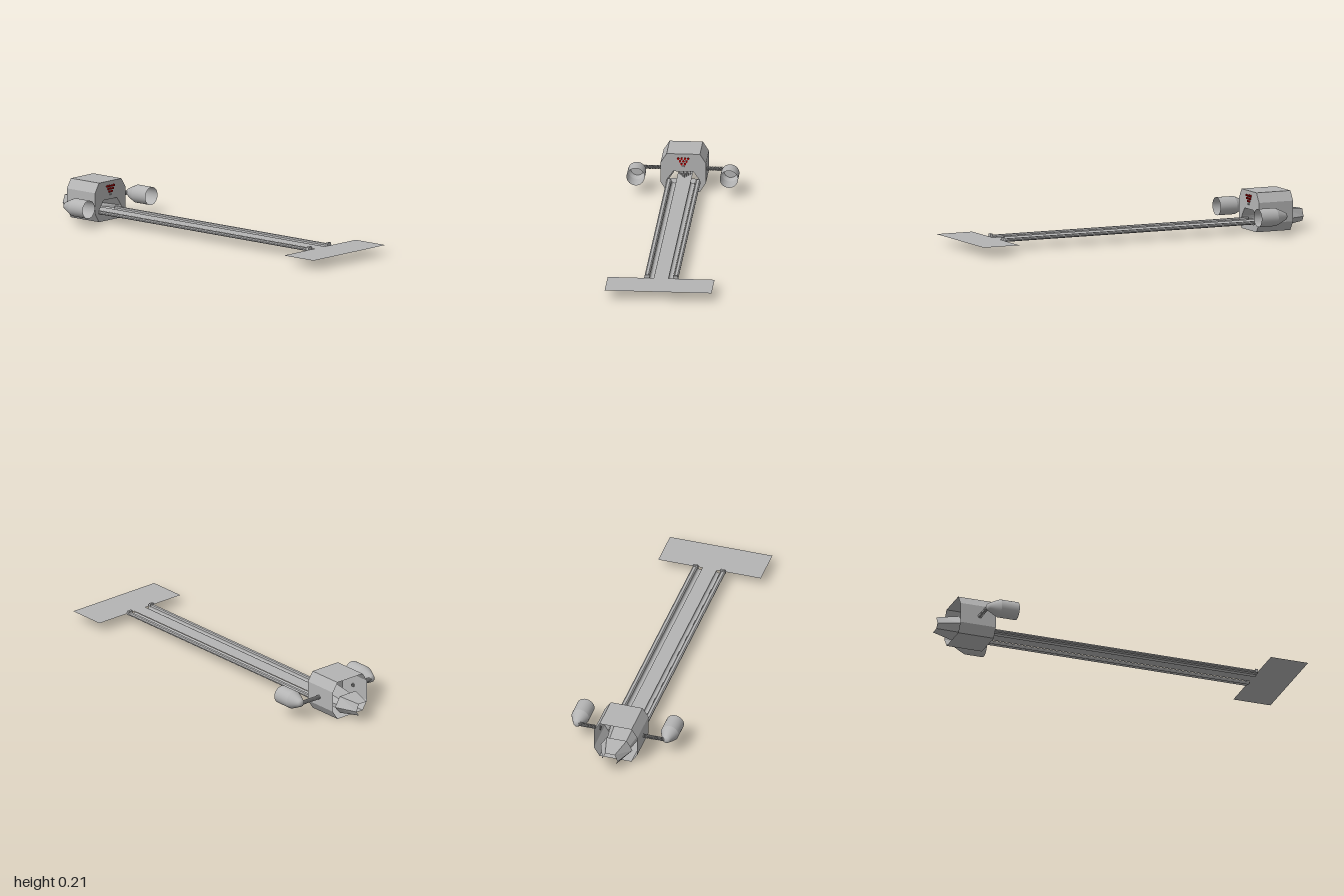
import * as THREE from 'three';

const mat = (name, color, side = THREE.DoubleSide) => {
  const m = new THREE.MeshStandardMaterial({ color, side });
  m.name = name;
  return m;
};

export function createModel() {
  const root = new THREE.Group();
  root.name = 'bowlingLane';
  const grey = mat('grey', 0xb4b4b4);
  const greyOuter = grey.clone();
  greyOuter.side = THREE.FrontSide;
  const red = mat('red', 0xb00000);
  const white = mat('white', 0xf4f4f4);

  const add = (name, geo, material, x = 0, y = 0, z = 0, parent = root) => {
    const m = new THREE.Mesh(geo, material);
    m.name = name;
    m.position.set(x, y, z);
    parent.add(m);
    return m;
  };
  const shapeOf = pts => new THREE.Shape(pts.map(p => new THREE.Vector2(...p)));

  // Flat-faced tube through cross-sections, each { z, pts }
  const loft = (rings, closed = true) => {
    const pos = [];
    for (let r = 0; r < rings.length - 1; r++) {
      const A = rings[r], B = rings[r + 1], n = A.pts.length;
      for (let i = 0; i < (closed ? n : n - 1); i++) {
        const j = (i + 1) % n;
        const a = [...A.pts[i], A.z], b = [...A.pts[j], A.z];
        const c = [...B.pts[j], B.z], d = [...B.pts[i], B.z];
        pos.push(...a, ...b, ...c, ...a, ...c, ...d);
      }
    }
    const g = new THREE.BufferGeometry();
    g.setAttribute('position', new THREE.Float32BufferAttribute(pos, 3));
    g.computeVertexNormals();
    return g;
  };

  // Lane and approach platform
  const floor = (w, d) => new THREE.PlaneGeometry(w, d).rotateX(-Math.PI / 2);
  add('lane', floor(0.078, 1.69), grey, 0, 0.05, -0.055);
  add('approach', floor(0.566, 0.21), grey, 0, 0.05, 0.895);

  // Housing: octagonal sleeve, open at the back, with a front panel
  const octagon = [[-0.088, 0], [0.088, 0], [0.12, 0.05], [0.12, 0.16],
    [0.088, 0.21], [-0.088, 0.21], [-0.12, 0.16], [-0.12, 0.05]];
  add('housingSleeve', loft([{ z: -0.9, pts: octagon }, { z: -0.7, pts: octagon }]), grey);
  const mouth = [[-0.06, 0.035], [-0.06, 0.045], [-0.092, 0.045], [-0.086, 0.066], [-0.053, 0.112],
    [0.053, 0.112], [0.086, 0.066], [0.092, 0.045], [0.06, 0.045], [0.06, 0.035]];
  const panel = shapeOf(octagon);
  panel.holes.push(shapeOf(mouth));
  add('frontPanel', new THREE.ShapeGeometry(panel), grey, 0, 0, -0.7);

  // Hood narrowing behind the mouth
  add('hood', loft([
    { z: -0.7, pts: [[-0.092, 0.045], [-0.086, 0.066], [-0.053, 0.112], [0.053, 0.112], [0.086, 0.066], [0.092, 0.045]] },
    { z: -0.88, pts: [[-0.062, 0.045], [-0.062, 0.066], [-0.045, 0.09], [0.045, 0.09], [0.062, 0.066], [0.062, 0.045]] },
  ], false), grey);

  // Tapered rear funnel, visible only from outside
  add('rearFunnel', loft([
    { z: -1, pts: [[-0.026, 0.035], [0.026, 0.035], [0.042, 0.06], [0.026, 0.1], [-0.026, 0.1], [-0.042, 0.06]] },
    { z: -0.88, pts: [[-0.055, 0.02], [0.055, 0.02], [0.088, 0.06], [0.055, 0.114], [-0.055, 0.114], [-0.088, 0.06]] },
  ]), greyOuter);

  // Pin triangle and matching indicator lights
  const pinProfile = [[0, 0], [0.0022, 0], [0.0038, 0.005], [0.0016, 0.011], [0.0022, 0.014], [0, 0.017]]
    .map(p => new THREE.Vector2(...p));
  const pinGeo = new THREE.LatheGeometry(pinProfile, 10);
  const lightGeo = new THREE.CylinderGeometry(0.006, 0.006, 0.008, 12).rotateX(Math.PI / 2);
  for (let row = 0; row < 4; row++) {
    for (let i = 0; i <= row; i++) {
      const k = i - row / 2;
      add('pin', pinGeo, white, k * 0.019, 0.05, -0.78 - row * 0.017);
      add('indicatorLight', lightGeo, row ? red : grey, k * 0.0175, 0.139 + row * 0.015, -0.698);
    }
  }

  // Gutter, rail and rail end, spring arm and cup on each side
  class Coil extends THREE.Curve {
    getPoint(t, v = new THREE.Vector3()) {
      const a = t * 19 * Math.PI * 2;
      return v.set(0.112 + t * 0.123, Math.cos(a) * 0.0085, Math.sin(a) * 0.0085);
    }
  }
  const springGeo = new THREE.TubeGeometry(new Coil(), 300, 0.0028, 6);
  const cupProfile = [[0.048, 0], [0.048, 0.1], [0.036, 0.128], [0.022, 0.156], [0.018, 0.164], [0.01, 0.169], [0, 0.17]]
    .map(p => new THREE.Vector2(...p));
  const cupWall = new THREE.LatheGeometry(cupProfile.slice(0, 2), 32).rotateX(-Math.PI / 2);
  const cupCone = new THREE.LatheGeometry(cupProfile.slice(1, 4), 32).rotateX(-Math.PI / 2);
  const cupTip = new THREE.LatheGeometry(cupProfile.slice(3), 32).rotateX(-Math.PI / 2);
  const gutterGeo = new THREE.CylinderGeometry(0.012, 0.012, 1.52, 12, 1, true, Math.PI / 2, Math.PI).rotateX(Math.PI / 2);
  gutterGeo.computeBoundingBox();
  // keep the trough facing downward
  if (gutterGeo.boundingBox.max.y > 0.006) gutterGeo.rotateZ(Math.PI);
  const railGeo = new THREE.ExtrudeGeometry(
    shapeOf([[0.064, 0.042], [0.084, 0.042], [0.09, 0.047], [0.09, 0.053], [0.084, 0.058], [0.07, 0.058], [0.064, 0.052]]),
    { depth: 1.52, bevelEnabled: false });
  const railEndGeo = new THREE.ExtrudeGeometry(
    shapeOf([[0.061, 0.045], [0.092, 0.045], [0.086, 0.066], [0.063, 0.066]]),
    { depth: 0.012, bevelEnabled: false });

  for (const s of [-1, 1]) {
    const side = new THREE.Group();
    side.name = s > 0 ? 'leftSide' : 'rightSide';
    root.add(side);
    add('gutter', gutterGeo, grey, s * 0.05, 0.048, 0.03, side);
    for (const [name, geo, z] of [['rail', railGeo, -0.73], ['railEnd', railEndGeo, 0.778]]) {
      const m = add(name, geo, grey, 0, 0, z, side);
      m.scale.x = s;
    }
    const spring = add('springArm', springGeo, grey, 0, 0.1, -0.79, side);
    spring.scale.x = s;
    const cup = new THREE.Group();
    cup.name = 'cup';
    cup.position.set(s * 0.247, 0.1, -0.63);
    side.add(cup);
    add('cupWall', cupWall, grey, 0, 0, 0, cup);
    add('cupCone', cupCone, grey, 0, 0, 0, cup);
    add('cupTip', cupTip, grey, 0, 0, 0, cup);
    add('cupBottom', new THREE.CircleGeometry(0.036, 32), grey, 0, 0, -0.128, cup);
  }
  return root;
}
